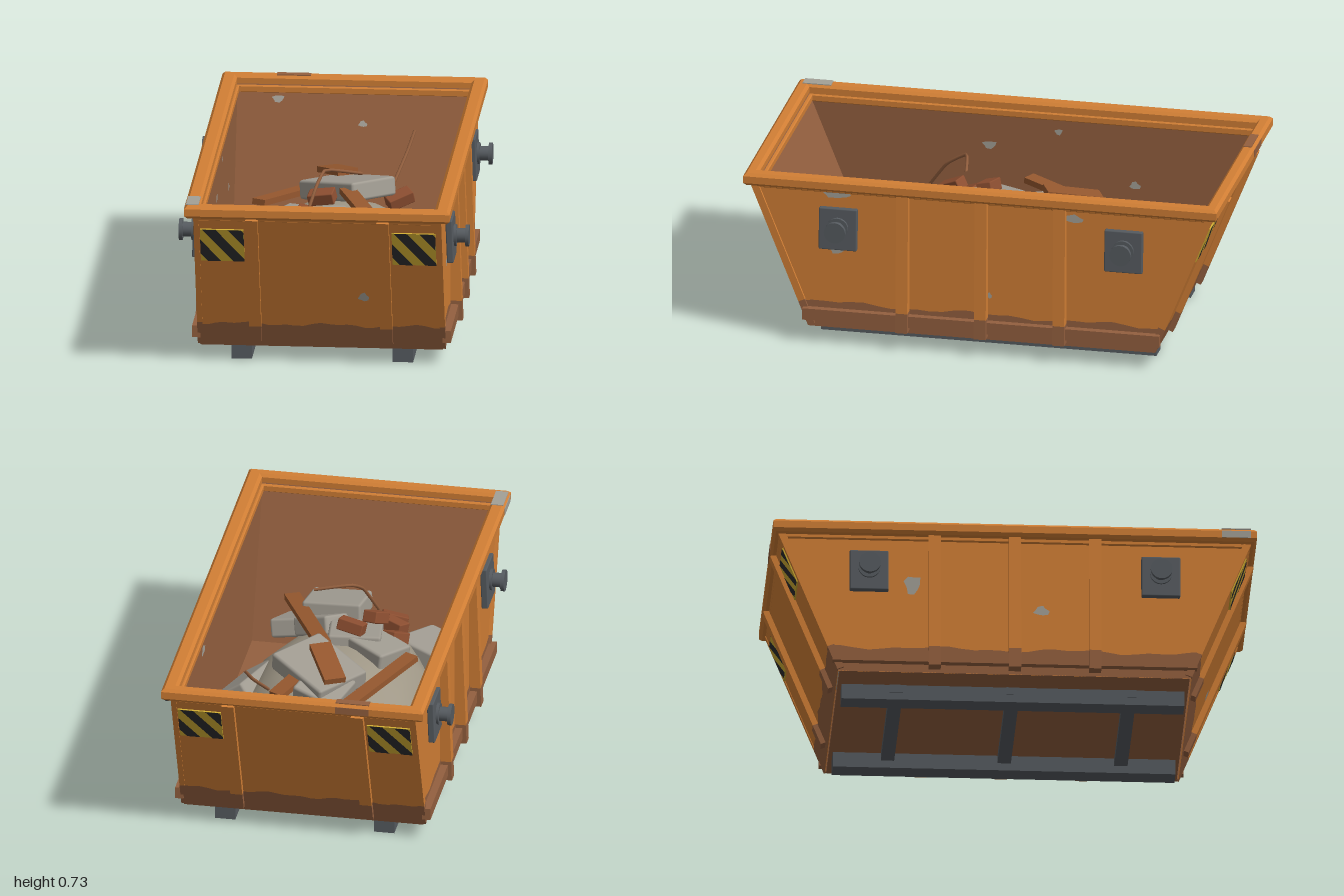
import * as THREE from 'three';
import { RoundedBoxGeometry } from 'three/addons/geometries/RoundedBoxGeometry.js';

const mat = (name, color, side = THREE.FrontSide) => {
  const m = new THREE.MeshStandardMaterial({ color, side });
  m.name = name;
  return m;
};
const M = {
  paint: mat('orange paint', 0xd27f35),
  rust: mat('rust', 0x94603f),
  steel: mat('dark steel', 0x565b60),
  chip: mat('bare metal', 0xa3a097),
  yellow: mat('warning yellow', 0xd0ac32),
  black: mat('warning black', 0x2b2b2d),
  concrete: mat('concrete', 0xa29d93),
  dust: mat('rubble dust', 0xa09887),
  wood: mat('old wood', 0x96582f),
  brick: mat('brick', 0x8f5032),
};

const Y0 = 0.065, Y1 = 0.69, Z0 = 0.725, K = 0.4;   // hull base, top, half length and end slope
const W = 0.5, TILT = Math.atan(K), UP = Math.hypot(1, K);
const zAt = (y) => Z0 + (y - Y0) * K;

function add(parent, name, geo, material, x = 0, y = 0, z = 0, rx = 0, ry = 0, rz = 0) {
  const m = new THREE.Mesh(geo, material);
  m.name = name;
  m.position.set(x, y, z);
  m.rotation.set(rx, ry, rz);
  parent.add(m);
  return m;
}
const box = (w, h, d) => new THREE.BoxGeometry(w, h, d);
const shapeOf = (pts) => new THREE.Shape(pts.map(([x, y]) => new THREE.Vector2(x, y)));
const flat = (pts) => new THREE.ShapeGeometry(shapeOf(pts));

// Rectangular ring lying flat, with softened edges
function frame(ox, oz, ix, iz, h, b) {
  const rect = (x, z) => [[-x, -z], [x, -z], [x, z], [-x, z]];
  const s = shapeOf(rect(ox - b, oz - b));
  s.holes.push(shapeOf(rect(ix + b, iz + b)));
  return new THREE.ExtrudeGeometry(s, {
    depth: h - 2 * b, bevelSize: b, bevelThickness: b, bevelSegments: 1,
  }).rotateX(-Math.PI / 2).translate(0, b, 0);
}

// Rust band with a wavy upper edge
function stain(half, slope, h, phase) {
  const pts = [[-half, 0], [half, 0]];
  for (let i = 0; i <= 28; i++) {
    const t = 1 - i / 14;
    const v = h + 0.007 * Math.sin(t * 9 + phase) + 0.005 * Math.sin(t * 23 + phase * 2);
    pts.push([t * (half + slope * v), v]);
  }
  return flat(pts);
}

// Irregular flake of worn paint
function flake(w, h, seed) {
  const pts = [];
  for (let i = 0; i < 9; i++) {
    const a = (i / 9) * Math.PI * 2, r = 0.85 + 0.2 * Math.sin(seed * 3 + i * 2.3);
    pts.push([Math.cos(a) * r * w / 2, Math.sin(a) * r * h / 2]);
  }
  return flat(pts);
}

// Clip a convex polygon to sign * x <= limit
function clip(pts, sign, limit) {
  const out = [];
  pts.forEach((p, i) => {
    const q = pts[(i + 1) % pts.length];
    const a = sign * p[0] - limit, b = sign * q[0] - limit;
    if (a <= 0) out.push(p);
    if (a * b < 0) out.push([p[0] + (q[0] - p[0]) * a / (a - b), p[1] + (q[1] - p[1]) * a / (a - b)]);
  });
  return out;
}

function hazardPlate() {
  const g = new THREE.Group(), hw = 0.09, hh = 0.081;
  g.name = 'hazardPlate';
  add(g, 'plateBase', box(hw * 2, hh * 2, 0.006), M.yellow);
  for (let i = -2; i <= 2; i++) {
    const x = i * 0.105 - 0.01;
    let p = [[x - 0.07, hh], [x + 0.02 + 0.035, -hh], [x + 0.11, -hh], [x - 0.015, hh]];
    p = clip(clip(p, 1, hw), -1, hw);
    if (p.length > 2) add(g, 'stripe', flat(p), M.black, 0, 0, 0.0045);
  }
  return g;
}

// Sloping end wall: local y runs up the slope, local z points outward
function endWall(phase) {
  const turn = new THREE.Group(), g = new THREE.Group();
  turn.name = 'endWall';
  g.position.set(0, Y0, Z0);
  g.rotation.x = TILT;
  turn.add(g);
  const L = (Y1 - Y0) * UP;
  add(g, 'outerPanel', new THREE.PlaneGeometry(W * 2, L), M.paint, 0, L / 2, 0);
  add(g, 'innerPanel', new THREE.PlaneGeometry(W * 2, L), M.rust, 0, L / 2, -0.034, 0, Math.PI);
  add(g, 'rustBand', stain(W, 0, 0.115, phase), M.rust, 0, 0, 0.003);
  for (const s of [-1, 1]) {
    add(g, 'endRib', box(0.05, 0.55, 0.024), M.paint, s * 0.27, 0.39, 0.012);
    add(g, 'endRibFoot', box(0.05, 0.09, 0.024), M.rust, s * 0.27, 0.07, 0.012);
    add(g, 'cornerStrip', box(0.022, 0.55, 0.03), M.paint, s * 0.5, 0.39, -0.012);
    add(g, 'cornerStripFoot', box(0.022, 0.11, 0.03), M.rust, s * 0.5, 0.06, -0.012);
    const plate = hazardPlate();
    plate.position.set(s * 0.395, 0.522, 0.004);
    g.add(plate);
  }
  return turn;
}

// Long side wall with ribs, base rail and lifting pins, facing +x
function sideWall(phase) {
  const g = new THREE.Group();
  g.name = 'sideWall';
  const q = Math.PI / 2, zt = zAt(Y1);
  const trapezoid = flat([[-Z0, Y0], [Z0, Y0], [zt, Y1], [-zt, Y1]]);
  add(g, 'outerPanel', trapezoid, M.paint, W, 0, 0, 0, q);
  add(g, 'innerPanel', trapezoid, M.rust, W - 0.02, 0, 0, 0, -q);
  add(g, 'rustBand', stain(Z0, K, 0.11, phase), M.rust, W + 0.003, Y0, 0, 0, q);
  add(g, 'baseRail', box(0.035, 0.05, 1.5), M.rust, W + 0.0155, 0.125, 0);
  const ribX = (y) => 0.55 - (y - 0.08) * 0.036;
  const ribPart = (a, b) => new THREE.ExtrudeGeometry(
    shapeOf([[W - 0.01, a], [ribX(a), a], [ribX(b), b], [W - 0.01, b]]),
    { depth: 0.05, bevelEnabled: false });
  for (const z of [-0.33, 0, 0.33]) {
    add(g, 'sideRib', ribPart(0.165, 0.68), M.paint, 0, 0, z - 0.025);
    add(g, 'sideRibFoot', ribPart(0.08, 0.165), M.rust, 0, 0, z - 0.025);
  }
  for (const z of [-0.6, 0.6]) {
    add(g, 'pinPlate', new RoundedBoxGeometry(0.028, 0.18, 0.16, 1, 0.005), M.steel, 0.522, 0.51, z, 0, 0, 0.04);
    add(g, 'pinCollar', new THREE.CylinderGeometry(0.045, 0.045, 0.012, 20), M.steel, 0.54, 0.518, z, 0, 0, q);
    add(g, 'liftingPin', new THREE.CylinderGeometry(0.03, 0.03, 0.08, 20), M.steel, 0.55, 0.518, z, 0, 0, q);
    add(g, 'pinHead', new THREE.CylinderGeometry(0.045, 0.045, 0.015, 20), M.steel, 0.59, 0.518, z, 0, 0, q);
  }
  return g;
}

function rubble() {
  const g = new THREE.Group();
  g.name = 'rubble';
  const heap = new THREE.SphereGeometry(1, 10, 8, Math.PI / 2, Math.PI * 2, 0, Math.PI / 2);
  add(g, 'heap', heap.scale(0.42, 0.36, 0.69), M.dust, 0, 0.08, 0);
  // x, y, z, width, depth, tilt x, yaw, tilt z
  const slabs = [
    [-0.18, 0.21, -0.6, 0.21, 0.25, -0.25, -0.46, 0.15], [0.03, 0.47, -0.22, 0.32, 0.25, -0.1, -0.72, 0.1],
    [0.37, 0.25, 0, 0.16, 0.33, 0.1, -0.25, -0.6], [-0.32, 0.2, 0.535, 0.26, 0.26, 0.2, -0.46, 0.2],
    [0.07, 0.44, 0.41, 0.25, 0.2, 0.15, -0.08, -0.05], [0.2, 0.31, 0.47, 0.26, 0.22, 0.3, -0.2, -0.15],
    [-0.15, 0.42, 0.1, 0.22, 0.18, 0.1, -0.6, 0.15], [-0.05, 0.43, 0.17, 0.22, 0.2, 0.1, 0.12, 0],
    [0.1, 0.4, 0.31, 0.19, 0.19, 0.3, -0.6, -0.2], [-0.01, 0.43, -0.32, 0.2, 0.18, -0.3, -0.4, 0.1],
  ];
  for (const [x, y, z, w, d, rx, ry, rz] of slabs) {
    add(g, 'concreteSlab', new RoundedBoxGeometry(w, 0.08, d, 1, 0.012), M.concrete, x, y, z, rx, ry, rz);
  }
  // x, y, z, width, length, tilt x, yaw
  const planks = [
    [-0.19, 0.43, -0.275, 0.06, 0.58, -0.1, -0.47], [0.155, 0.47, 0.2, 0.065, 0.58, 0.12, 0.41],
    [-0.015, 0.53, -0.27, 0.09, 0.24, -0.2, 0.45], [0.14, 0.45, -0.35, 0.065, 0.15, -0.2, -0.5],
  ];
  for (const [x, y, z, w, l, rx, ry] of planks) {
    const m = add(g, 'plank', box(w, 0.025, l), M.wood, x, y, z);
    m.rotation.set(rx, ry, 0, 'YXZ');
  }
  const bricks = [
    [0.22, 0.34, -0.52, 0.5], [-0.05, 0.52, 0.09, -0.15], [-0.21, 0.42, 0.21, 1.1],
    [-0.17, 0.38, 0.39, -0.5], [-0.16, 0.37, 0.46, 0.2], [-0.12, 0.48, 0.26, 1.2],
  ];
  for (const [x, y, z, ry] of bricks) {
    add(g, 'brick', new RoundedBoxGeometry(0.11, 0.05, 0.065, 1, 0.005), M.brick, x, y, z, 0.25, ry, 0.2);
  }
  // Bent reinforcing bars
  const bars = [
    [[0.28, 0.62, -0.56], [0.255, 0.55, -0.5], [0.21, 0.45, -0.39]],
    [[0.12, 0.64, 0.15], [-0.03, 0.66, 0.18], [-0.065, 0.6, 0.27], [-0.11, 0.46, 0.37]],
  ];
  for (const p of bars) {
    const curve = new THREE.CatmullRomCurve3(p.map((v) => new THREE.Vector3(...v)), false, 'catmullrom', 0.2);
    add(g, 'reinforcingBar', new THREE.TubeGeometry(curve, 14, 0.007, 6), M.rust);
  }
  return g;
}

export function createModel() {
  const model = new THREE.Group(), q = Math.PI / 2;
  model.name = 'wasteSkip';

  // Hull
  for (const turn of [0, Math.PI]) {
    const end = endWall(turn + 1), side = sideWall(turn + 2);
    end.rotation.y = side.rotation.y = turn;
    model.add(end, side);
  }
  add(model, 'floor', box(W * 2, 0.02, Z0 * 2 - 0.01), M.rust, 0, Y0 + 0.0105, 0);
  add(model, 'rim', frame(0.547, 0.995, 0.483, 0.94, 0.054, 0.012), M.paint, 0, 0.676, 0);
  add(model, 'rimLip', frame(0.51, 0.965, 0.473, 0.925, 0.03, 0.004), M.paint, 0, 0.66, 0);

  // Skids and cross beams
  for (const s of [-1, 1]) add(model, 'skid', box(0.084, 0.068, 1.41), M.steel, s * 0.332, 0.034, 0);
  for (const z of [-0.48, 0, 0.48]) add(model, 'crossBeam', box(0.755, 0.034, 0.055), M.steel, 0, 0.049, z);

  // Worn paint on the side walls: x, y, z, width, height (facing follows the yaw)
  const wear = [
    [0.504, 0.652, 0.61, 0.14, 0.035, q], [0.504, 0.628, -0.38, 0.11, 0.04, q], [0.504, 0.405, 0.61, 0.07, 0.03, q],
    [0.504, 0.26, -0.03, 0.025, 0.03, q], [-0.504, 0.46, -0.42, 0.08, 0.1, -q], [-0.504, 0.355, 0.11, 0.07, 0.05, -q],
    [-0.476, 0.53, 0.18, 0.07, 0.04, q], [-0.476, 0.4, -0.43, 0.05, 0.04, q], [-0.476, 0.61, -0.11, 0.04, 0.03, q],
    [0.476, 0.62, -0.42, 0.08, 0.05, -q],
  ];
  wear.forEach(([x, y, z, w, h, ry], i) => add(model, 'paintChip', flake(w, h, i), M.chip, x, y, z, 0, ry));

  // Worn paint on the end walls and rim
  add(model, 'paintChip', flake(0.05, 0.05, 3), M.chip, 0.18, 0.31, zAt(0.31) + 0.005, TILT);
  add(model, 'paintChip', flake(0.04, 0.03, 5), M.chip, 0.04, 0.55, -zAt(0.55) + 0.041, -TILT);
  add(model, 'paintChip', flake(0.06, 0.035, 6), M.chip, -0.31, 0.64, -zAt(0.64) + 0.041, -TILT);
  add(model, 'rimChip', box(0.052, 0.004, 0.12), M.chip, -0.515, 0.731, 0.91);
  add(model, 'rimChip', box(0.004, 0.03, 0.12), M.chip, -0.547, 0.703, 0.91);
  add(model, 'rimRust', box(0.14, 0.004, 0.034), M.rust, -0.25, 0.731, -0.967);
  add(model, 'rimRust', box(0.14, 0.03, 0.004), M.rust, -0.25, 0.703, -0.995);

  model.add(rubble());
  return model;
}
